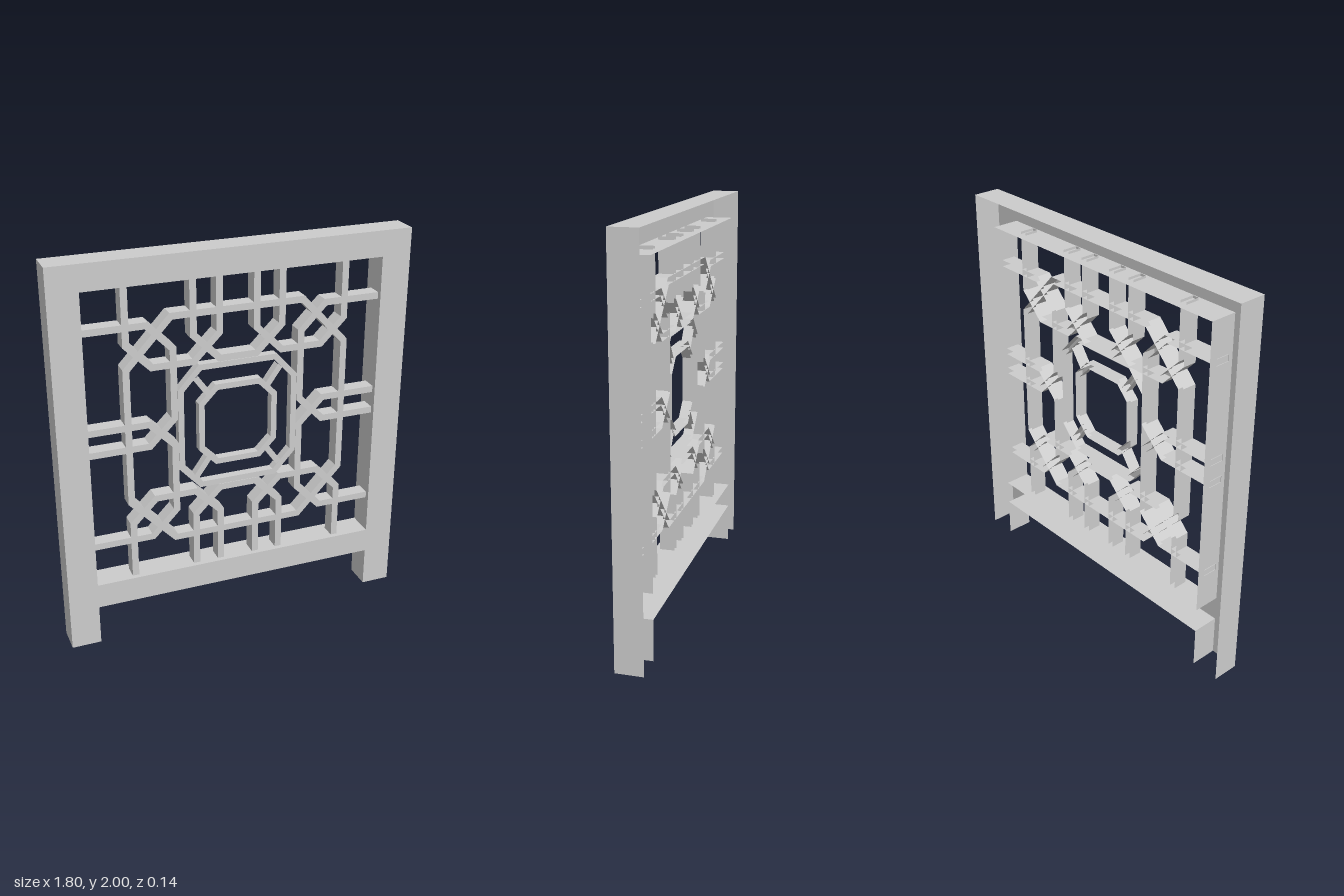
import * as THREE from 'three';

const material = new THREE.MeshStandardMaterial({ color: 0xcccccc, flatShading: true, side: THREE.DoubleSide });
const CENTRE = [0.012, 1.107]; // middle of the lattice pattern

function quadsMesh(name, quads) {
  const positions = [];
  for (const [a, b, c, d] of quads) positions.push(...a, ...b, ...c, ...a, ...c, ...d);
  const geometry = new THREE.BufferGeometry();
  geometry.setAttribute('position', new THREE.Float32BufferAttribute(positions, 3));
  geometry.computeVertexNormals();
  const mesh = new THREE.Mesh(geometry, material);
  mesh.name = name;
  return mesh;
}

// Bar with a front face and two side walls, open at the back, with mitred bends
function channel(name, path, { closed = false, width = 0.034, front = 0.045, back = -0.03 } = {}) {
  const n = path.length;
  const points = path.map(([x, y]) => new THREE.Vector2(x + CENTRE[0], y + CENTRE[1]));
  const normalOf = (a, b) => {
    const d = b.clone().sub(a).normalize();
    return new THREE.Vector2(-d.y, d.x);
  };
  const sections = points.map((p, i) => {
    const prev = closed ? points[(i + n - 1) % n] : points[i - 1];
    const next = closed ? points[(i + 1) % n] : points[i + 1];
    const n0 = normalOf(prev ?? p, prev ? p : next);
    const n1 = normalOf(next ? p : prev, next ?? p);
    const mitre = n0.clone().add(n1).normalize();
    mitre.multiplyScalar(width / 2 / mitre.dot(n0));
    const l = p.clone().add(mitre), r = p.clone().sub(mitre);
    return [[r.x, r.y, back], [r.x, r.y, front], [l.x, l.y, front], [l.x, l.y, back]];
  });
  const quads = [];
  for (let i = 0; i < (closed ? n : n - 1); i++) {
    const s = sections[i], t = sections[(i + 1) % n];
    for (let j = 0; j < 3; j++) quads.push([s[j], t[j], t[j + 1], s[j + 1]]);
  }
  return quadsMesh(name, quads);
}

// Octagon with corners at (a, top) and (side, b)
const octagon = (a, top, side, b) => [
  [a, top], [-a, top], [-side, b], [-side, -b], [-a, -top], [a, -top], [side, -b], [side, b],
];

function createFrame() {
  const frame = new THREE.Group();
  frame.name = 'frame';
  const z = 0.07;
  const outer = [[0.9, 0], [0.9, 2], [-0.9, 2], [-0.9, 0]];
  const under = [[-0.75, 0], [-0.75, 0.21], [0.75, 0.21], [0.75, 0]];
  const opening = [[-0.75, 0.34], [-0.75, 1.87], [0.75, 1.87], [0.75, 0.34], [-0.75, 0.34]];
  const vectors = (list) => list.map(([x, y]) => new THREE.Vector2(x, y));

  // Front plate with legs
  const shape = new THREE.Shape(vectors([...outer, ...under]));
  shape.holes.push(new THREE.Path(vectors(opening.slice(0, 4))));
  const plate = new THREE.Mesh(new THREE.ShapeGeometry(shape), material);
  plate.name = 'frameFront';
  plate.position.z = z;
  frame.add(plate);

  // Side walls, open at the back and under the legs
  const walls = { frameOuterWalls: outer, frameUnderside: under, frameOpeningWalls: opening };
  for (const [name, line] of Object.entries(walls)) {
    const quads = [];
    for (let i = 0; i < line.length - 1; i++) {
      const p = line[i], q = line[i + 1];
      quads.push([[...p, -z], [...q, -z], [...q, z], [...p, z]]);
    }
    frame.add(quadsMesh(name, quads));
  }
  return frame;
}

function createLattice() {
  const lattice = new THREE.Group();
  lattice.name = 'lattice';
  const mirror = (path, sx, sy) => path.map(([x, y]) => [x * sx, y * sy]);
  const endX = 0.765, endY = 0.775;

  // Large ring
  lattice.add(channel('largeRing', octagon(0.335, 0.59, 0.56, 0.35), { closed: true }));

  // Interlaced loops
  const cornerLoop = [[-0.555, endY], [-0.555, 0.471], [-0.434, 0.349], [-0.226, 0.349], [-0.095, 0.48], [-0.095, endY]];
  const middleLoop = [[-0.226, endY], [-0.226, 0.48], [-0.095, 0.349], [0.095, 0.349], [0.226, 0.48], [0.226, endY]];
  const sideLoop = [[-endX, 0.56], [-0.455, 0.56], [-0.328, 0.43], [-0.328, 0.07], [-0.455, -0.058], [-endX, -0.058]];
  for (const sy of [1, -1]) {
    lattice.add(channel('middleLoop', mirror(middleLoop, 1, sy)));
    for (const sx of [1, -1]) {
      lattice.add(channel('cornerLoop', mirror(cornerLoop, sx, sy)));
      lattice.add(channel('sideLoop', mirror(sideLoop, sx, sy)));
    }
  }

  // Central rings joined by diagonal spokes
  const slim = { width: 0.03, back: 0 };
  lattice.add(channel('outerCentreRing', octagon(0.195, 0.315, 0.295, 0.205), { ...slim, closed: true }));
  lattice.add(channel('innerCentreRing', octagon(0.112, 0.2, 0.19, 0.12), { ...slim, closed: true }));
  for (const sx of [1, -1]) for (const sy of [1, -1]) {
    lattice.add(channel('spoke', mirror([[0.22, 0.265], [0.152, 0.17]], sx, sy), slim));
  }
  return lattice;
}

export function createModel() {
  const model = new THREE.Group();
  model.name = 'latticeScreen';
  model.add(createFrame(), createLattice());
  return model;
}
